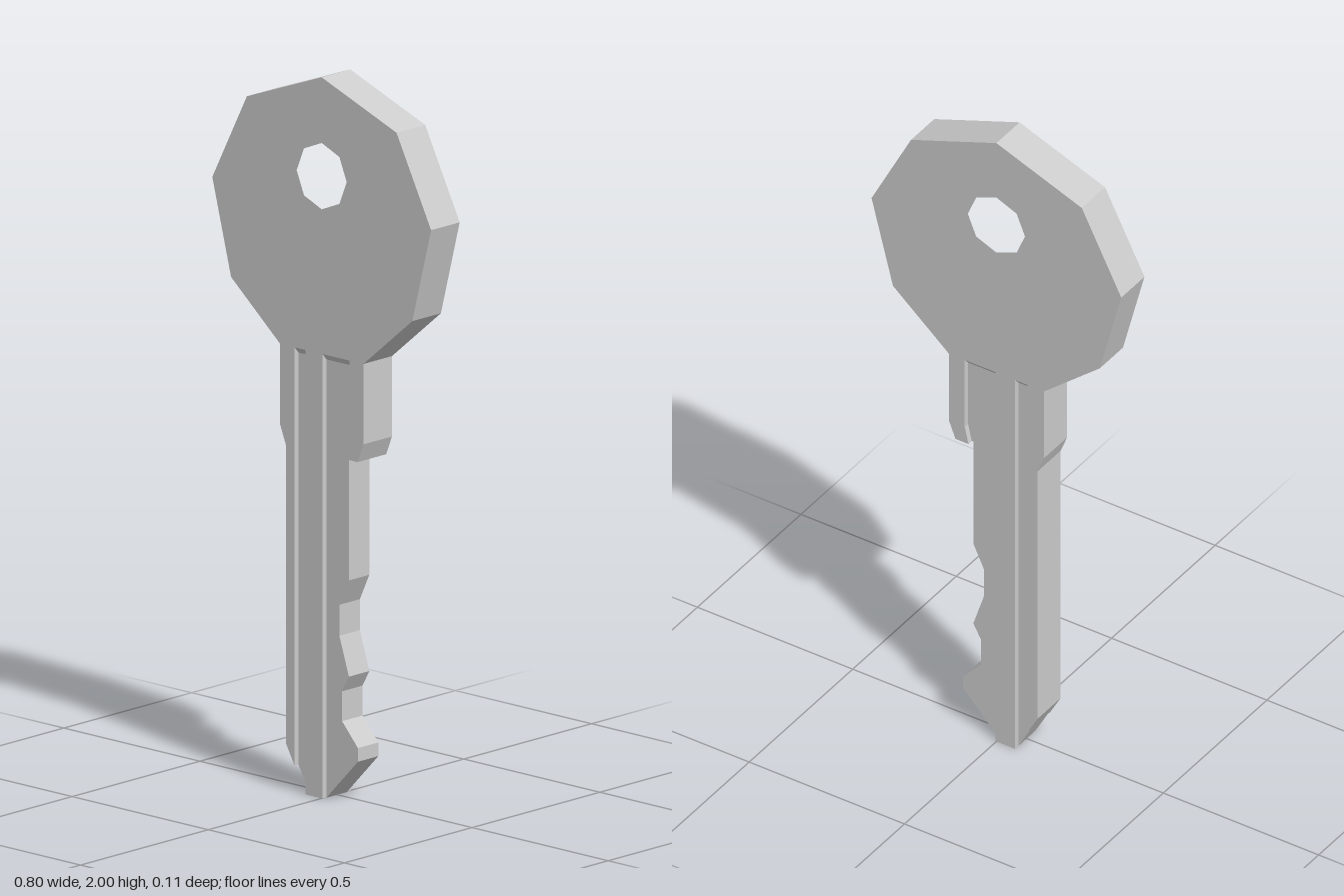
import * as THREE from 'three';

const FULL = 0.056; // half thickness of the head and raised rails
const WEB = 0.04;   // half thickness of the milled grooves and bitting
const NECK = 1.233; // height where the shank meets the head

const material = new THREE.MeshStandardMaterial({ color: 0xcccccc, flatShading: true });

function outline(points) {
  return new THREE.Shape(points.map(([x, y]) => new THREE.Vector2(x, y)));
}

// Flat plate from an outline, centred on z = 0
function plate(name, shape, half) {
  const geo = new THREE.ExtrudeGeometry(shape, { depth: half * 2, bevelEnabled: false });
  geo.translate(0, 0, -half);
  const mesh = new THREE.Mesh(geo, material);
  mesh.name = name;
  return mesh;
}

// Sloped end of a groove, spanning x0..x1 on one side of the key
function grooveEnd(name, x0, x1, side) {
  const shape = outline([[side * WEB, NECK], [side * FULL, NECK], [side * WEB, NECK - 0.018]]);
  const geo = new THREE.ExtrudeGeometry(shape, { depth: x1 - x0, bevelEnabled: false });
  geo.rotateY(-Math.PI / 2);
  geo.translate(x1, 0, 0);
  const mesh = new THREE.Mesh(geo, material);
  mesh.name = name;
  return mesh;
}

export function createModel() {
  const key = new THREE.Group();
  key.name = 'key';

  // Faceted head with an octagonal ring hole
  const half = [[0.275, 1.897], [0.402, 1.65], [0.333, 1.385], [0.153, NECK]];
  const mirrored = half.map(([x, y]) => [-x, y]).reverse();
  const head = outline([[0, 2], ...half, ...mirrored]);
  const hole = [];
  for (let i = 0; i < 8; i++) {
    const a = i * Math.PI / 4;
    hole.push(new THREE.Vector2(0.092 * Math.sin(a), 1.726 + 0.092 * Math.cos(a)));
  }
  head.holes.push(new THREE.Path(hole));
  key.add(plate('head', head, FULL));

  // Full-thickness spine along the uncut edge, with the left shoulder
  key.add(plate('spine', outline([
    [-0.153, NECK], [-0.153, 1.01], [-0.132, 0.957], [-0.132, 0.13], [-0.1, 0.072], [-0.1, NECK],
  ]), FULL));

  // Thin floor of the narrow groove
  key.add(plate('narrowGroove', outline([
    [-0.1, NECK], [-0.1, 0.072], [-0.06, 0], [-0.06, NECK],
  ]), WEB));

  // Raised centre rib
  key.add(plate('centreRib', outline([
    [-0.06, NECK], [-0.06, 0], [0.003, 0], [0.003, NECK],
  ]), FULL));

  // Thin blade with the cut teeth
  key.add(plate('toothedBlade', outline([
    [0.003, NECK], [0.003, 0], [0.118, 0.12], [0.118, 0.158], [0.06, 0.222], [0.06, 0.305],
    [0.085, 0.35], [0.05, 0.457], [0.05, 0.543], [0.085, 0.617], [0.085, 0.957],
    [0.09, 0.957], [0.102, 1.01], [0.102, NECK],
  ]), WEB));

  // Right shoulder
  key.add(plate('shoulder', outline([
    [0.102, NECK], [0.102, 1.01], [0.09, 0.957], [0.132, 0.957], [0.153, 1.01], [0.153, NECK],
  ]), FULL));

  // Sloped groove ends on both faces
  for (const side of [1, -1]) {
    key.add(grooveEnd('narrowGrooveEnd', -0.1, -0.06, side));
    key.add(grooveEnd('wideGrooveEnd', 0.003, 0.102, side));
  }
  return key;
}
